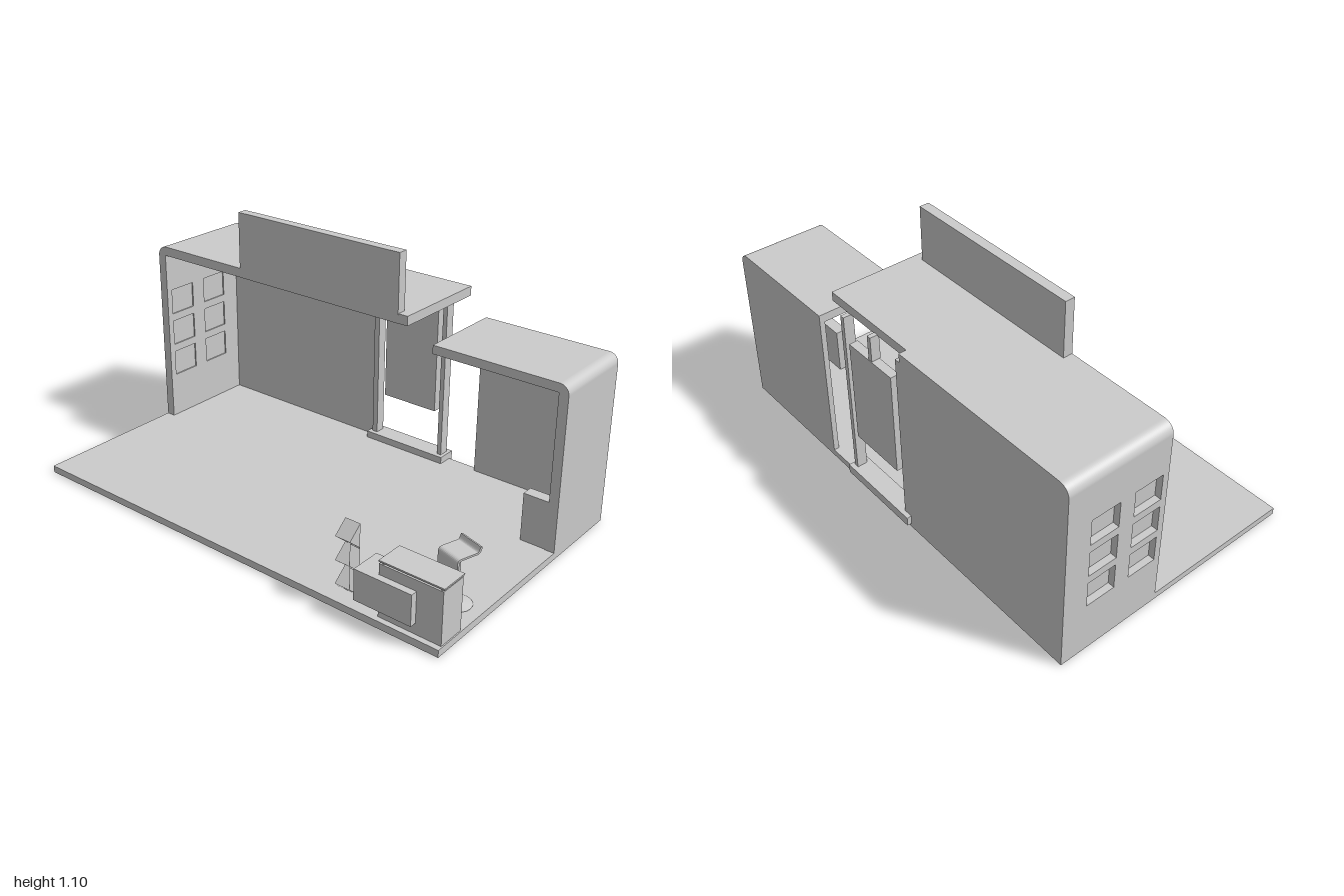
import * as THREE from 'three';

const grey = new THREE.MeshStandardMaterial({ color: 0xcccccc });

export function createModel() {
  const model = new THREE.Group();

  function add(name, geometry, parent = model) {
    const mesh = new THREE.Mesh(geometry, grey);
    mesh.name = name;
    parent.add(mesh);
    return mesh;
  }
  // box given by its limits on each axis
  function box(name, x0, x1, y0, y1, z0, z1) {
    const mesh = add(name, new THREE.BoxGeometry(x1 - x0, y1 - y0, z1 - z0));
    mesh.position.set((x0 + x1) / 2, (y0 + y1) / 2, (z0 + z1) / 2);
  }
  function cylinder(name, r, y0, y1, x, z, parent = model) {
    const mesh = add(name, new THREE.CylinderGeometry(r, r, y1 - y0, 24), parent);
    mesh.position.set(x, (y0 + y1) / 2, z);
  }
  // wall and roof in one bent slab; the outer top corner is rounded
  function bentSlab(name, xWall, xEnd, yBottom, yTop, t, r, z0, z1) {
    const s = Math.sign(xEnd - xWall);
    const shape = new THREE.Shape();
    shape.moveTo(xWall, yBottom);
    shape.lineTo(xWall, yTop - r);
    shape.absarc(xWall + s * r, yTop - r, r, s > 0 ? Math.PI : 0, Math.PI / 2, s > 0);
    shape.lineTo(xEnd, yTop);
    shape.lineTo(xEnd, yTop - t);
    shape.lineTo(xWall + s * 0.04, yTop - t);
    shape.lineTo(xWall + s * 0.04, yBottom);
    const g = new THREE.ExtrudeGeometry(shape, { depth: z1 - z0, bevelEnabled: false, curveSegments: 10 });
    add(name, g).position.z = z0;
  }
  // profile of [z, y] points extruded along x, centred on its width
  function sideProfile(shape, width) {
    const g = new THREE.ExtrudeGeometry(shape, { depth: width, bevelEnabled: false, curveSegments: 6 });
    g.translate(0, 0, -width / 2);
    g.rotateY(-Math.PI / 2);
    return g;
  }

  box('floor', -1, 1, 0, 0.03, -0.565, 0.58);

  // large booth; the roof is notched at the back above the doorway
  bentSlab('largeRoof', -1, 0.355, 0.78, 0.855, 0.04, 0.045, -0.532, -0.097);
  bentSlab('largeRoofBack', -1, -0.115, 0.78, 0.855, 0.04, 0.045, -0.565, -0.532);
  box('largeBackWall', -0.96, -0.112, 0.03, 0.815, -0.565, -0.542);
  box('signBoard', -0.507, 0.311, 0.815, 1.097, -0.138, -0.096);

  // side wall with two columns of three niches
  const side = new THREE.Shape();
  side.moveTo(0.097, 0.03);
  side.lineTo(0.565, 0.03);
  side.lineTo(0.565, 0.78);
  side.lineTo(0.097, 0.78);
  side.closePath();
  for (const u of [0.125, 0.325]) {
    for (const v of [0.23, 0.38, 0.53]) {
      const hole = new THREE.Path();
      hole.moveTo(u, v);
      hole.lineTo(u, v + 0.115);
      hole.lineTo(u + 0.13, v + 0.115);
      hole.lineTo(u + 0.13, v);
      hole.closePath();
      side.holes.push(hole);
      box('nichePanel', -0.972, -0.966, v, v + 0.115, -u - 0.13, -u);
    }
  }
  const sideWall = add('nicheWall', new THREE.ExtrudeGeometry(side, { depth: 0.04, bevelEnabled: false }));
  sideWall.rotation.y = Math.PI / 2;
  sideWall.position.x = -1;

  // small booth with a low cabinet against its side wall
  bentSlab('smallBooth', 1, 0.413, 0.03, 0.725, 0.037, 0.04, -0.565, -0.187);
  box('smallBackWall', 0.413, 0.96, 0.03, 0.688, -0.565, -0.542);
  box('cabinet', 0.85, 0.96, 0.03, 0.235, -0.24, -0.19);

  // ceiling lights
  function lights(xs, zs, y) {
    for (const x of xs) for (const z of zs) cylinder('ceilingLight', 0.022, y - 0.003, y, x, z);
  }
  lights([-0.87, -0.62, -0.36, -0.145], [-0.24, -0.41], 0.815);
  lights([0.5, 0.65, 0.81, 0.89], [-0.36], 0.688);

  // doorway frame with a hanging screen
  box('frameSill', -0.13, 0.27, 0.02, 0.06, -0.585, -0.5);
  box('framePost', -0.115, -0.09, 0.06, 0.815, -0.565, -0.52);
  box('framePost', 0.235, 0.255, 0.06, 0.815, -0.565, -0.52);
  box('screen', -0.058, 0.206, 0.251, 0.711, -0.568, -0.53);
  box('screenHanger', 0.063, 0.083, 0.711, 0.82, -0.565, -0.525);

  // counter with a raised top and a front block
  box('counter', 0.73, 0.995, 0.03, 0.247, 0.44, 0.557);
  box('counterTop', 0.73, 1, 0.256, 0.262, 0.44, 0.56);
  for (const x of [0.745, 0.985]) {
    for (const z of [0.45, 0.55]) cylinder('counterSpacer', 0.004, 0.245, 0.258, x, z);
  }
  box('counterBlock', 0.643, 0.888, 0.075, 0.203, 0.455, 0.585);

  // brochure rack: a folded zigzag sheet
  const folds = [];
  for (let i = 0; i <= 6; i++) folds.push([i % 2 ? 0.555 : 0.497, 0.326 - i * 0.049]);
  const ribbon = [
    ...folds.map(([z, y]) => new THREE.Vector2(z, y)),
    ...folds.reverse().map(([z, y]) => new THREE.Vector2(z, y - 0.004)),
  ];
  add('brochureRack', sideProfile(new THREE.Shape(ribbon), 0.066)).position.x = 0.569;

  // bar stool with a bent seat
  const stool = new THREE.Group();
  stool.name = 'stool';
  stool.position.set(0.897, 0, 0.316);
  stool.rotation.y = -0.3;
  model.add(stool);
  const base = [[0, 0.03], [0.058, 0.03], [0.056, 0.033], [0.03, 0.037], [0.012, 0.043], [0, 0.046]];
  add('stoolBase', new THREE.LatheGeometry(base.map(p => new THREE.Vector2(...p)), 28), stool);
  cylinder('stoolPole', 0.007, 0.04, 0.247, 0, 0, stool);
  const ring = add('footRest', new THREE.TorusGeometry(0.022, 0.003, 8, 24), stool);
  ring.rotation.x = Math.PI / 2;
  ring.position.set(0, 0.095, 0.018);

  const seat = new THREE.Shape();
  seat.moveTo(0.053, 0.178);
  seat.lineTo(0.053, 0.235);
  seat.quadraticCurveTo(0.053, 0.254, 0.034, 0.254);
  seat.lineTo(-0.035, 0.254);
  seat.quadraticCurveTo(-0.042, 0.255, -0.048, 0.274);
  seat.lineTo(-0.056, 0.272);
  seat.quadraticCurveTo(-0.052, 0.246, -0.036, 0.246);
  seat.lineTo(0.034, 0.246);
  seat.quadraticCurveTo(0.045, 0.246, 0.045, 0.235);
  seat.lineTo(0.045, 0.178);
  add('stoolSeat', sideProfile(seat, 0.107), stool);

  return model;
}
